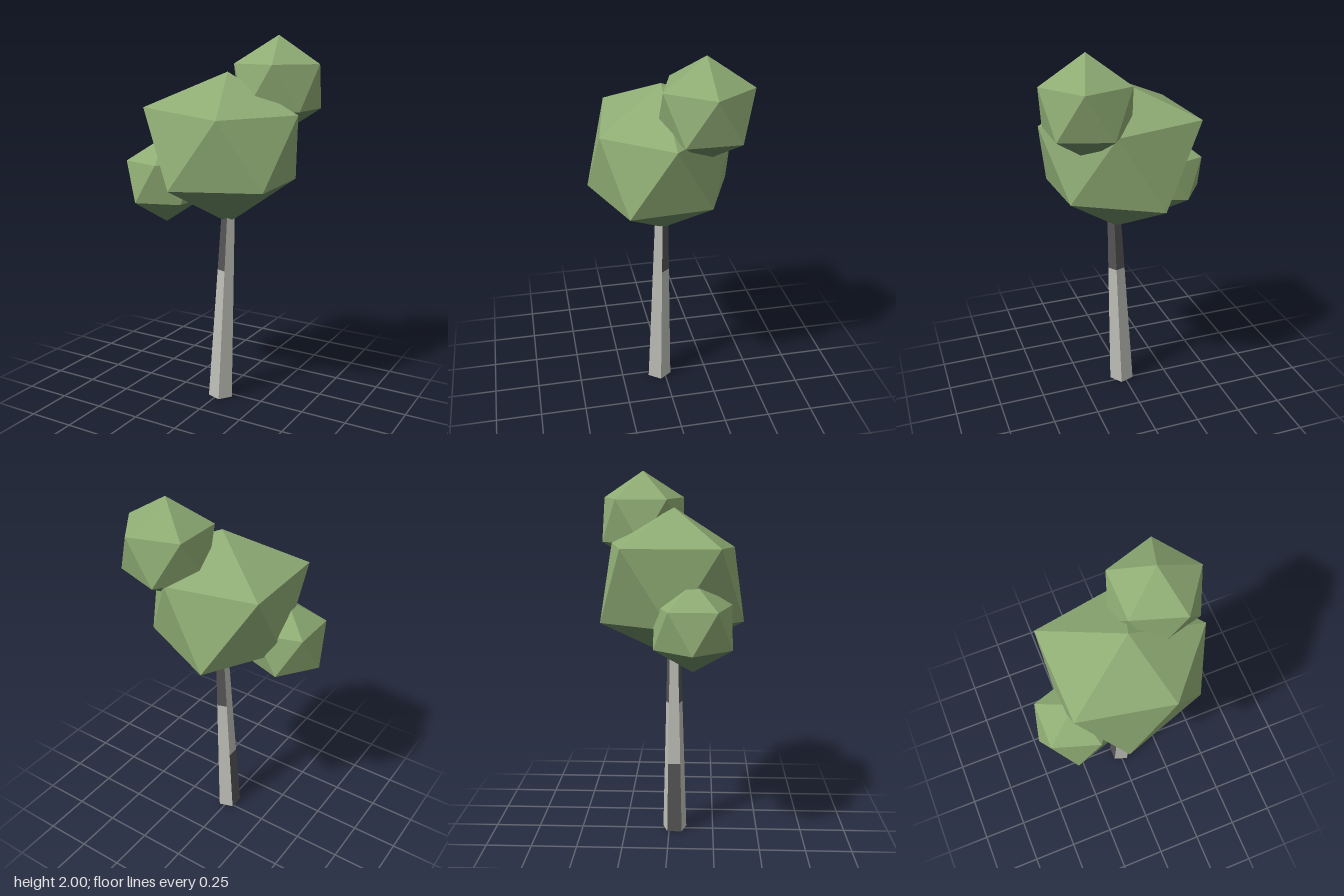
import * as THREE from 'three';

const mat = (name, color) => {
  const m = new THREE.MeshStandardMaterial({ color, flatShading: true });
  m.name = name;
  return m;
};

// Flat-shaded mesh from a list of triangles, each [a, b, c] of [x, y, z]
function facetMesh(name, tris, material) {
  const g = new THREE.BufferGeometry();
  g.setAttribute('position', new THREE.Float32BufferAttribute(tris.flat(2), 3));
  g.computeVertexNormals();
  const mesh = new THREE.Mesh(g, material);
  mesh.name = name;
  return mesh;
}

// Five points around a vertical axis, running from +x towards +z
const ring = (x, y, z, r, phase = 0) => Array.from({ length: 5 }, (_, i) => {
  const a = phase + i * Math.PI * 0.4;
  return [x + r * Math.cos(a), y, z + r * Math.sin(a)];
});

// Twenty-sided leaf clump: top point, two staggered rings, bottom point
function leafClump(name, top, upper, lower, bottom, leaf, shade) {
  const crown = [], under = [];
  for (let i = 0; i < 5; i++) {
    const j = (i + 1) % 5;
    crown.push([top, upper[j], upper[i]], [upper[i], upper[j], lower[i]], [lower[i], upper[j], lower[j]]);
    under.push([bottom, lower[i], lower[j]]);
  }
  const group = new THREE.Group();
  group.name = name;
  group.add(facetMesh(name + 'Top', crown, leaf), facetMesh(name + 'Underside', under, shade));
  return group;
}

function regularClump(name, x, y, z, r, leaf, shade) {
  const h = r * 0.447, w = r * 0.894;
  return leafClump(name, [x, y + r, z], ring(x, y + h, z, w),
    ring(x, y - h, z, w, Math.PI / 5), [x, y - r, z], leaf, shade);
}

export function createModel() {
  const leaf = mat('leafGreen', 0x8fac74);
  const shade = mat('shadedLeafGreen', 0x66865f);
  const bark = mat('paleBark', 0xbfbfb8);
  const patch = mat('darkBark', 0x555555);
  const model = new THREE.Group();
  model.name = 'tree';

  // Leaning five-sided trunk with dark bark patches
  const levels = [0, 0.4, 0.75, 1.06];
  const rings = levels.map((y) => ring(0.01 + 0.04 * y, y, 0.031 - 0.006 * y, 0.07 - 0.03 * y));
  const darkBand = [-1, 2, 0, 2, 2]; // which band is dark on each side
  const pale = [], dark = [];
  for (let i = 0; i < 5; i++) {
    const j = (i + 1) % 5;
    for (let k = 0; k < 3; k++) {
      const lo = rings[k], hi = rings[k + 1];
      (darkBand[i] === k ? dark : pale).push([lo[i], hi[i], hi[j]], [lo[i], hi[j], lo[j]]);
    }
    pale.push([[0.01, 0, 0.031], rings[0][i], rings[0][j]]);
  }
  model.add(facetMesh('trunk', pale, bark), facetMesh('barkPatches', dark, patch));

  // Large uneven central clump
  model.add(leafClump('mainFoliage',
    [0.045, 1.815, 0.025],
    [[0.45, 1.61, 0.025], [0.165, 1.597, 0.352], [-0.318, 1.635, 0.27], [-0.33, 1.635, -0.23], [0.15, 1.62, -0.32]],
    [[0.367, 1.24, 0.24], [-0.09, 1.233, 0.397], [-0.325, 1.23, 0.02], [-0.09, 1.22, -0.363], [0.35, 1.25, -0.18]],
    [0.045, 1.01, 0.01], leaf, shade));

  // Smaller clumps
  model.add(regularClump('upperFoliage', 0.25, 1.738, -0.152, 0.262, leaf, shade));
  model.add(regularClump('lowerFoliage', -0.277, 1.24, 0.131, 0.234, leaf, shade));
  return model;
}
